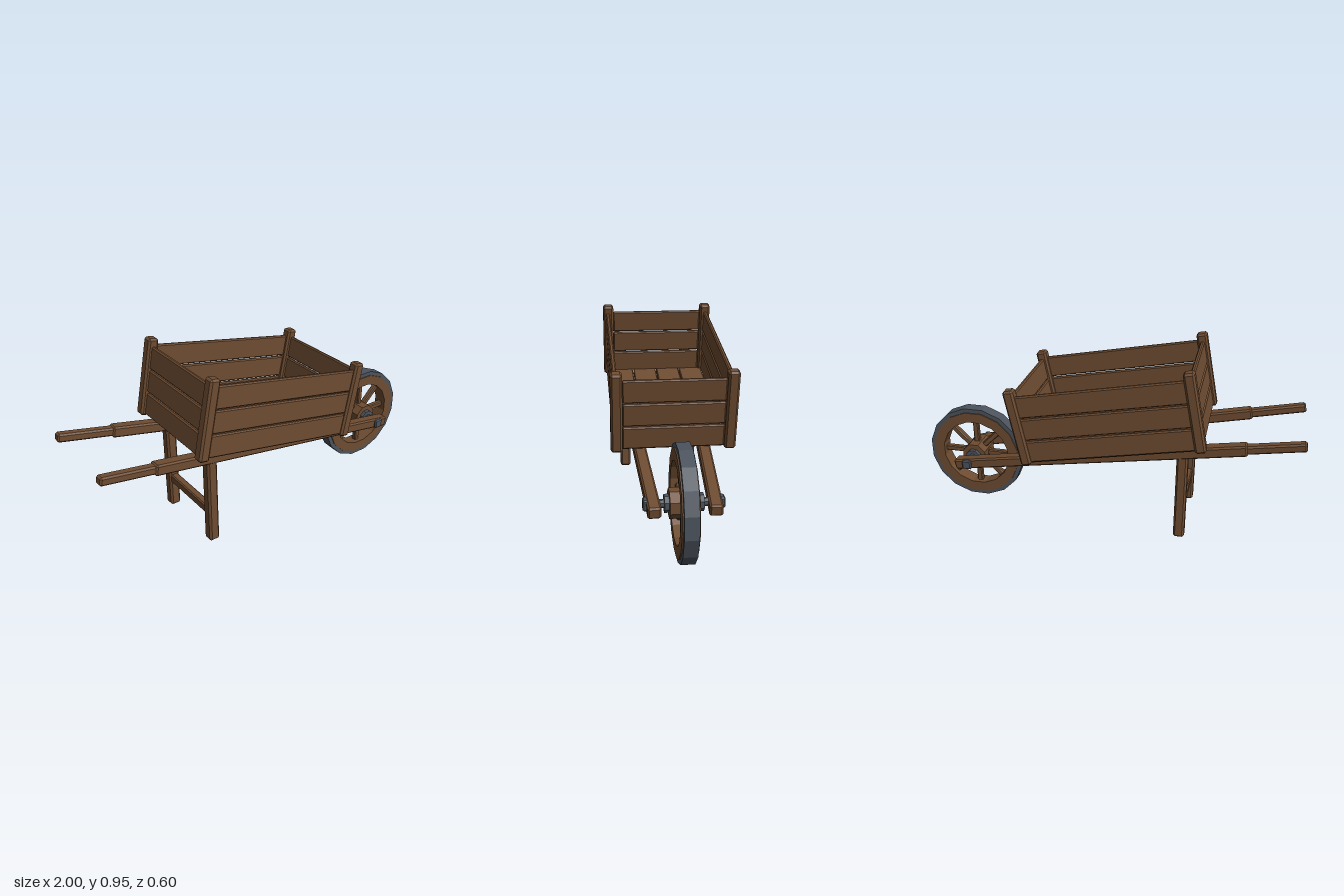
import * as THREE from 'three';
import { ConvexGeometry } from 'three/addons/geometries/ConvexGeometry.js';

const wood = new THREE.MeshStandardMaterial({ color: 0x6e4c31 });
wood.name = 'wood';
const iron = new THREE.MeshStandardMaterial({ color: 0x4c535d });
iron.name = 'iron';

// Box with flat chamfers on every edge
function chamferBox(w, h, d, c) {
  const pts = [];
  for (const x of [-1, 1]) for (const y of [-1, 1]) for (const z of [-1, 1]) {
    const [a, b, e] = [w / 2, h / 2, d / 2];
    pts.push(
      new THREE.Vector3(x * a, y * (b - c), z * (e - c)),
      new THREE.Vector3(x * (a - c), y * b, z * (e - c)),
      new THREE.Vector3(x * (a - c), y * (b - c), z * e));
  }
  return new ConvexGeometry(pts);
}

function add(parent, name, geometry, material, x = 0, y = 0, z = 0) {
  const mesh = new THREE.Mesh(geometry, material);
  mesh.name = name;
  mesh.position.set(x, y, z);
  parent.add(mesh);
  return mesh;
}

const beam = (parent, name, [w, h, d], [x, y, z], c = 0.01) =>
  add(parent, name, chamferBox(w, h, d, c), wood, x, y, z);

// Faceted ring around the z axis
function ring(inner, outer, half, sides) {
  const profile = [[inner, -half], [outer, -half], [outer, half], [inner, half], [inner, -half]]
    .map(([r, y]) => new THREE.Vector2(r, y));
  const g = new THREE.LatheGeometry(profile, sides, Math.PI / sides).toNonIndexed();
  g.rotateX(Math.PI / 2);
  g.computeVertexNormals();
  return g;
}

// Faceted solid cylinder along the z axis
function drum(radius, length, sides) {
  const g = new THREE.CylinderGeometry(radius, radius, length, sides, 1, false, Math.PI / sides)
    .toNonIndexed();
  g.rotateX(Math.PI / 2);
  g.computeVertexNormals();
  return g;
}

function makeTray() {
  const tray = new THREE.Group();
  tray.name = 'tray';
  const rear = -0.532, front = 0.354, mid = (rear + front) / 2;
  // Corner posts
  for (const x of [rear, front]) for (const s of [-1, 1])
    beam(tray, 'cornerPost', [0.055, 0.407, 0.056], [x, 0.24, s * 0.272], 0.01);
  // Three planks on each wall
  for (let i = 0; i < 3; i++) {
    const y = 0.105 + i * 0.1215;
    for (const s of [-1, 1])
      beam(tray, 'sidePlank', [0.85, 0.115, 0.022], [mid, y, s * 0.275], 0.006);
    for (const x of [rear, front])
      beam(tray, 'endPlank', [0.022, 0.115, 0.49], [x, y, 0], 0.006);
  }
  // Floor planks
  for (let i = 0; i < 4; i++)
    beam(tray, 'floorPlank', [0.865, 0.022, 0.13], [mid, 0.045, (i - 1.5) * 0.133], 0.005);
  return tray;
}

function makeWheel() {
  const wheel = new THREE.Group();
  wheel.name = 'wheel';
  add(wheel, 'tyre', ring(0.235, 0.266, 0.032, 16), iron);
  add(wheel, 'rim', ring(0.188, 0.243, 0.038, 16), wood);
  // Spokes
  for (let i = 0; i < 8; i++) {
    const a = i * Math.PI / 4;
    const spoke = beam(wheel, 'spoke', [0.17, 0.03, 0.03],
      [Math.cos(a) * 0.12, Math.sin(a) * 0.12, 0], 0.005);
    spoke.rotation.z = a;
  }
  // Hub, collars, axle and nuts
  add(wheel, 'hub', drum(0.068, 0.132, 8), wood);
  add(wheel, 'hubCollar', drum(0.041, 0.174, 8), iron);
  add(wheel, 'axle', drum(0.02, 0.34, 8), iron);
  for (const s of [-1, 1])
    add(wheel, 'axleNut', chamferBox(0.05, 0.05, 0.025, 0.006), iron, 0, 0, s * 0.168);
  return wheel;
}

export function createModel() {
  const model = new THREE.Group();
  model.name = 'wheelbarrow';

  // Sloping body: tray and two shafts that converge on the wheel
  const body = new THREE.Group();
  body.name = 'body';
  body.position.y = 0.407;
  body.rotation.z = -0.195;
  body.add(makeTray());
  for (const s of [-1, 1]) {
    const shaft = new THREE.Group();
    shaft.name = s > 0 ? 'frontShaft' : 'backShaft';
    shaft.position.z = s * 0.172;
    shaft.rotation.y = s * 0.047;
    beam(shaft, 'rail', [1.57, 0.056, 0.06], [0.041, 0, 0], 0.008);
    beam(shaft, 'handle', [0.3, 0.043, 0.046], [-0.868, 0, 0], 0.008);
    body.add(shaft);
  }
  model.add(body);

  // Legs and cross bar
  for (const s of [-1, 1])
    beam(model, 'leg', [0.056, 0.48, 0.057], [-0.42, 0.242, s * 0.19], 0.01);
  beam(model, 'legCrossBar', [0.04, 0.048, 0.34], [-0.42, 0.173, 0], 0.006);

  const wheel = makeWheel();
  wheel.position.set(0.737, 0.263, 0);
  model.add(wheel);
  return model;
}
